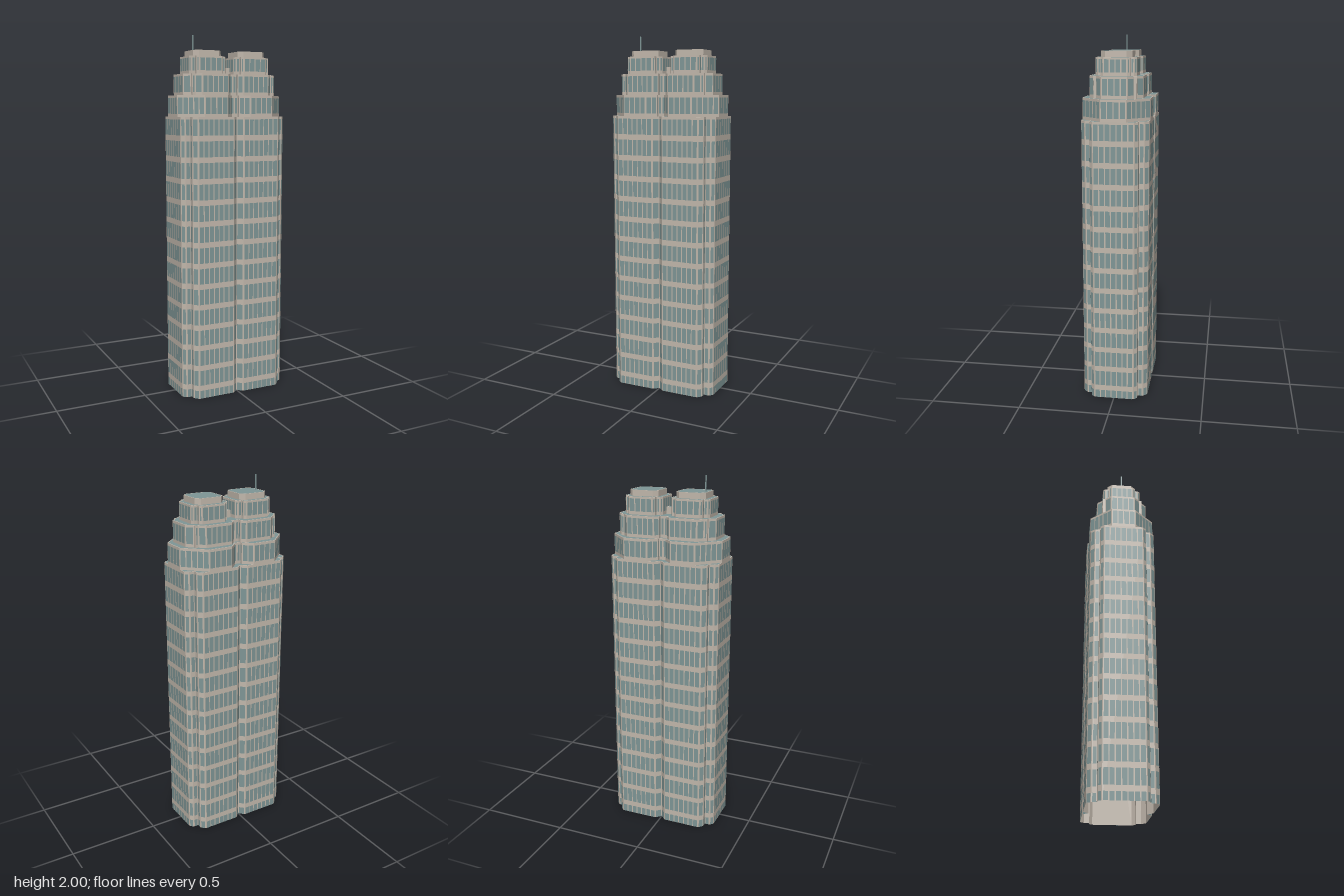
import * as THREE from 'three';

const stone = new THREE.MeshStandardMaterial({ color: 0xc2b8ac, side: THREE.DoubleSide });
stone.name = 'stone';
const glass = new THREE.MeshStandardMaterial({ color: 0x7f9696, side: THREE.DoubleSide });
glass.name = 'blue grey glass';

const FLOOR = 0.1155, FIRST_BAND = 0.06, BAND = 0.03; // facade rhythm
const PITCH = 0.029, MULLION = 0.006, RIM = 0.005;

// Mirror a quarter outline [x, z] (centre front to right side) into a closed loop.
function fullOutline(q) {
  const r = [...q].reverse();
  const all = [
    ...q,
    ...r.map(([x, z]) => [x, -z]),
    ...q.map(([x, z]) => [-x, -z]),
    ...r.map(([x, z]) => [-x, z]),
  ];
  return all.filter((p, i) => {
    const n = all[(i + 1) % all.length];
    return Math.hypot(p[0] - n[0], p[1] - n[1]) > 1e-5;
  });
}

// Each edge with its start, direction, length and outward normal.
function edgesOf(loop) {
  return loop.map((a, i) => {
    const b = loop[(i + 1) % loop.length];
    const len = Math.hypot(b[0] - a[0], b[1] - a[1]);
    const d = [(b[0] - a[0]) / len, (b[1] - a[1]) / len];
    return { a, d, len, n: [-d[1], d[0]] };
  });
}

function insetLoop(loop, w) {
  const e = edgesOf(loop);
  return loop.map((p, i) => {
    const m = e[(i + e.length - 1) % e.length].n, n = e[i].n;
    const k = w / (1 + m[0] * n[0] + m[1] * n[1]);
    return [p[0] - k * (m[0] + n[0]), p[1] - k * (m[1] + n[1])];
  });
}

// Upright quad on an edge from distance s to t, pushed out by off.
function pushQuad(out, e, s, t, y0, y1, off) {
  const at = (u, y) => [e.a[0] + e.d[0] * u + e.n[0] * off, y, e.a[1] + e.d[1] * u + e.n[1] * off];
  const A = at(s, y0), B = at(t, y0), C = at(t, y1), D = at(s, y1);
  out.push(...A, ...B, ...C, ...A, ...C, ...D);
}

function quadMesh(positions, material, name) {
  const g = new THREE.BufferGeometry();
  g.setAttribute('position', new THREE.Float32BufferAttribute(positions, 3));
  g.computeVertexNormals();
  const m = new THREE.Mesh(g, material);
  m.name = name;
  return m;
}

function flatMesh(loop, hole, y, material, name) {
  const pts = (l) => l.map(([x, z]) => new THREE.Vector2(x, -z));
  const shape = new THREE.Shape(pts(loop));
  if (hole) shape.holes.push(new THREE.Path(pts(hole)));
  const m = new THREE.Mesh(new THREE.ShapeGeometry(shape).rotateX(-Math.PI / 2), material);
  m.position.y = y;
  m.name = name;
  return m;
}

// One storey block: stone walls, window panes, parapet rim and roof.
function tier(name, quarter, y0, y1, windows = true) {
  const group = new THREE.Group();
  group.name = name;
  const loop = fullOutline(quarter), edges = edgesOf(loop);
  const walls = [], panes = [];
  for (const e of edges) {
    pushQuad(walls, e, 0, e.len, y0, y1, 0);
    if (!windows || e.len < 0.016) continue;
    const count = Math.max(1, Math.floor((e.len - 0.004) / PITCH));
    const step = (e.len - 0.004) / count;
    for (let band = FIRST_BAND - FLOOR; band < y1; band += FLOOR) {
      const lo = Math.max(band + BAND / 2, y0);
      const hi = Math.min(band + FLOOR - BAND / 2, y1 - 0.01);
      if (hi - lo < 0.02) continue;
      for (let i = 0; i < count; i++) {
        const s = 0.002 + i * step + MULLION / 2;
        pushQuad(panes, e, s, s + step - MULLION, lo, hi, 0.0012);
      }
    }
  }
  group.add(quadMesh(walls, stone, name + 'Walls'));
  if (panes.length) group.add(quadMesh(panes, glass, name + 'Windows'));
  const inner = insetLoop(loop, RIM);
  group.add(flatMesh(loop, inner, y1, stone, name + 'Rim'));
  group.add(flatMesh(inner, null, y1, glass, name + 'Roof'));
  return group;
}

export function createModel() {
  const model = new THREE.Group();
  model.name = 'twinToppedTower';

  // Main shaft with stepped corners and a V groove front and back
  model.add(tier('shaft', [
    [0, 0.152], [0.03, 0.182], [0.243, 0.182], [0.267, 0.158],
    [0.267, 0.13], [0.296, 0.13], [0.315, 0.11],
  ], 0, 1.56));

  // First setback: corners cut back
  model.add(tier('lowerSetback', [
    [0, 0.12], [0.022, 0.12], [0.022, 0.136], [0.068, 0.182], [0.203, 0.182], [0.315, 0.068],
  ], 1.56, 1.675));

  // Second setback
  model.add(tier('upperSetback', [
    [0, 0.1], [0.022, 0.1], [0.022, 0.12], [0.045, 0.144], [0.2, 0.144],
    [0.229, 0.114], [0.247, 0.114], [0.247, 0.1], [0.28, 0.068],
  ], 1.675, 1.79));

  // Twin crowns
  for (const [side, name] of [[-1, 'right'], [1, 'left']]) {
    const crown = new THREE.Group();
    crown.name = name + 'Crown';
    crown.add(tier('crownTower', [
      [0.068, 0.109], [0.079, 0.096], [0.079, 0.077], [0.1, 0.077], [0.109, 0.062],
    ], 1.79, 1.885));
    crown.add(tier('crownCap', [[0.059, 0.083], [0.083, 0.057]], 1.885, 1.917, false));
    crown.position.x = side * 0.134;
    model.add(crown);
  }

  // Small block between the crowns
  model.add(tier('linkBlock', [[0.021, 0.021]], 1.79, 1.828, false));

  // Mast
  const mast = new THREE.Mesh(new THREE.BoxGeometry(0.006, 0.083, 0.006), glass);
  mast.name = 'mast';
  mast.position.set(-0.194, 1.9585, 0);
  model.add(mast);

  return model;
}
